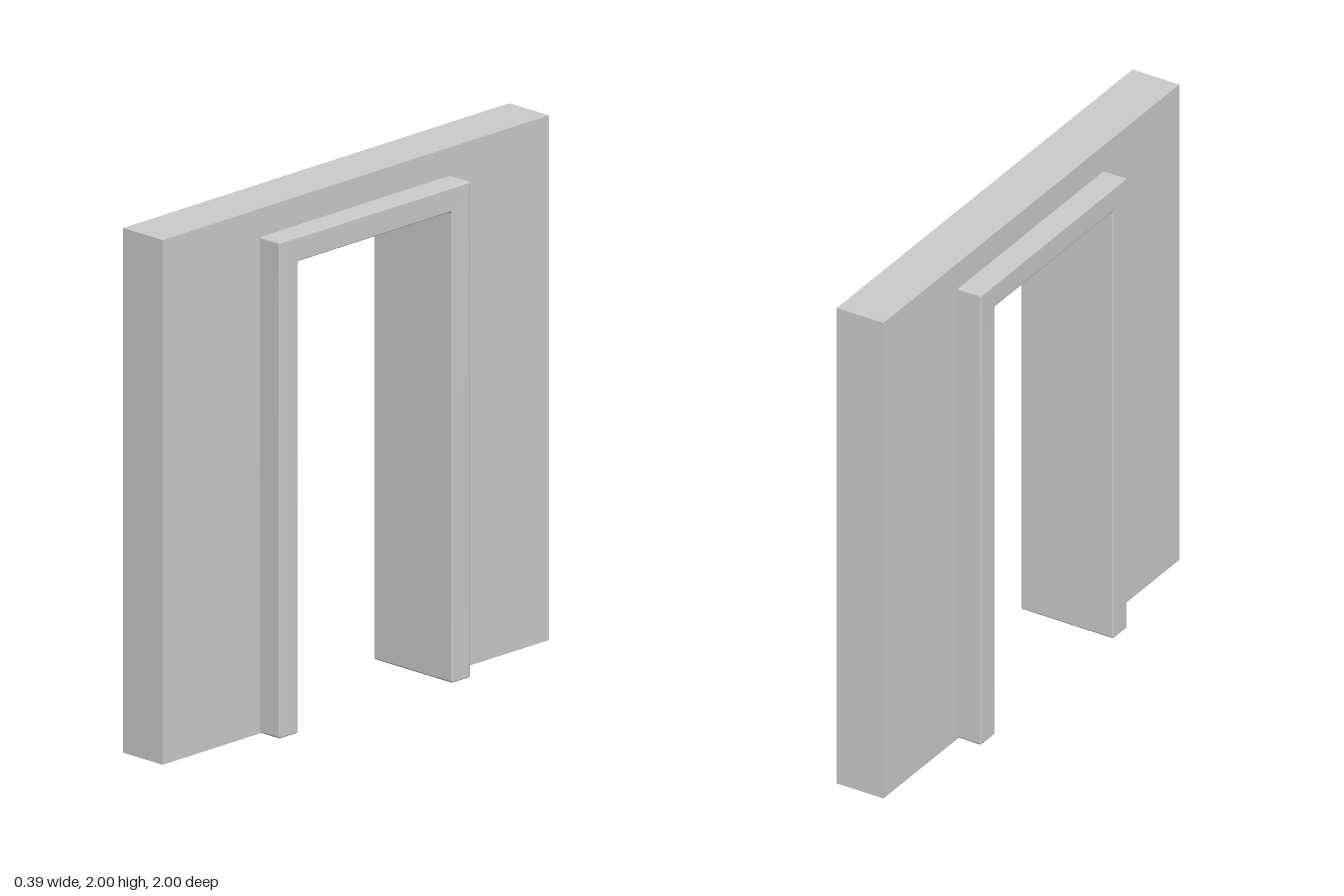
import * as THREE from 'three';
import { mergeVertices } from 'three/addons/utils/BufferGeometryUtils.js';

// Closed outline with small rounded corners
function roundedShape(points, r) {
  const shape = new THREE.Shape();
  const pts = points.map(([x, y]) => new THREE.Vector2(x, y));
  pts.forEach((p, i) => {
    const toward = (q) => p.clone().add(q.clone().sub(p).setLength(r));
    const a = toward(pts[(i + pts.length - 1) % pts.length]);
    const b = toward(pts[(i + 1) % pts.length]);
    if (i === 0) shape.moveTo(a.x, a.y);
    else shape.lineTo(a.x, a.y);
    shape.quadraticCurveTo(p.x, p.y, b.x, b.y);
  });
  shape.closePath();
  return shape;
}

// Upside-down U outline: outer half width and height, inner half width and height
function archPoints(ow, oh, iw, ih) {
  return [[-ow, 0], [-iw, 0], [-iw, ih], [iw, ih], [iw, 0], [ow, 0], [ow, oh], [-ow, oh]];
}

export function createModel() {
  const model = new THREE.Group();
  const plaster = new THREE.MeshStandardMaterial({ color: 0xcccccc });
  plaster.name = 'plain grey';

  // Wall with doorway; its cut edge is hidden inside the frame
  const wallShape = new THREE.Shape(
    archPoints(1, 2, 0.45, 1.84).map(([x, y]) => new THREE.Vector2(x, y))
  );
  const wallGeo = new THREE.ExtrudeGeometry(wallShape, { depth: 0.2, bevelEnabled: false });
  wallGeo.translate(0, 0, -0.1).rotateY(-Math.PI / 2);
  const wall = new THREE.Mesh(wallGeo, plaster);
  wall.name = 'wall';

  // Door frame with softened edges, standing proud on both sides
  const bevel = 0.006;
  let frameGeo = new THREE.ExtrudeGeometry(
    roundedShape(archPoints(0.495, 1.892, 0.398, 1.797), 0.009),
    {
      depth: 0.394 - 2 * bevel, bevelThickness: bevel, bevelSize: bevel,
      bevelOffset: -bevel, bevelSegments: 2, curveSegments: 3,
    }
  );
  frameGeo.translate(0, 0, -0.197 + bevel).rotateY(-Math.PI / 2);
  frameGeo.deleteAttribute('uv');
  frameGeo.deleteAttribute('normal');
  frameGeo = mergeVertices(frameGeo, 1e-5);
  frameGeo.computeVertexNormals();
  const frame = new THREE.Mesh(frameGeo, plaster);
  frame.name = 'doorFrame';

  model.add(wall, frame);
  return model;
}
